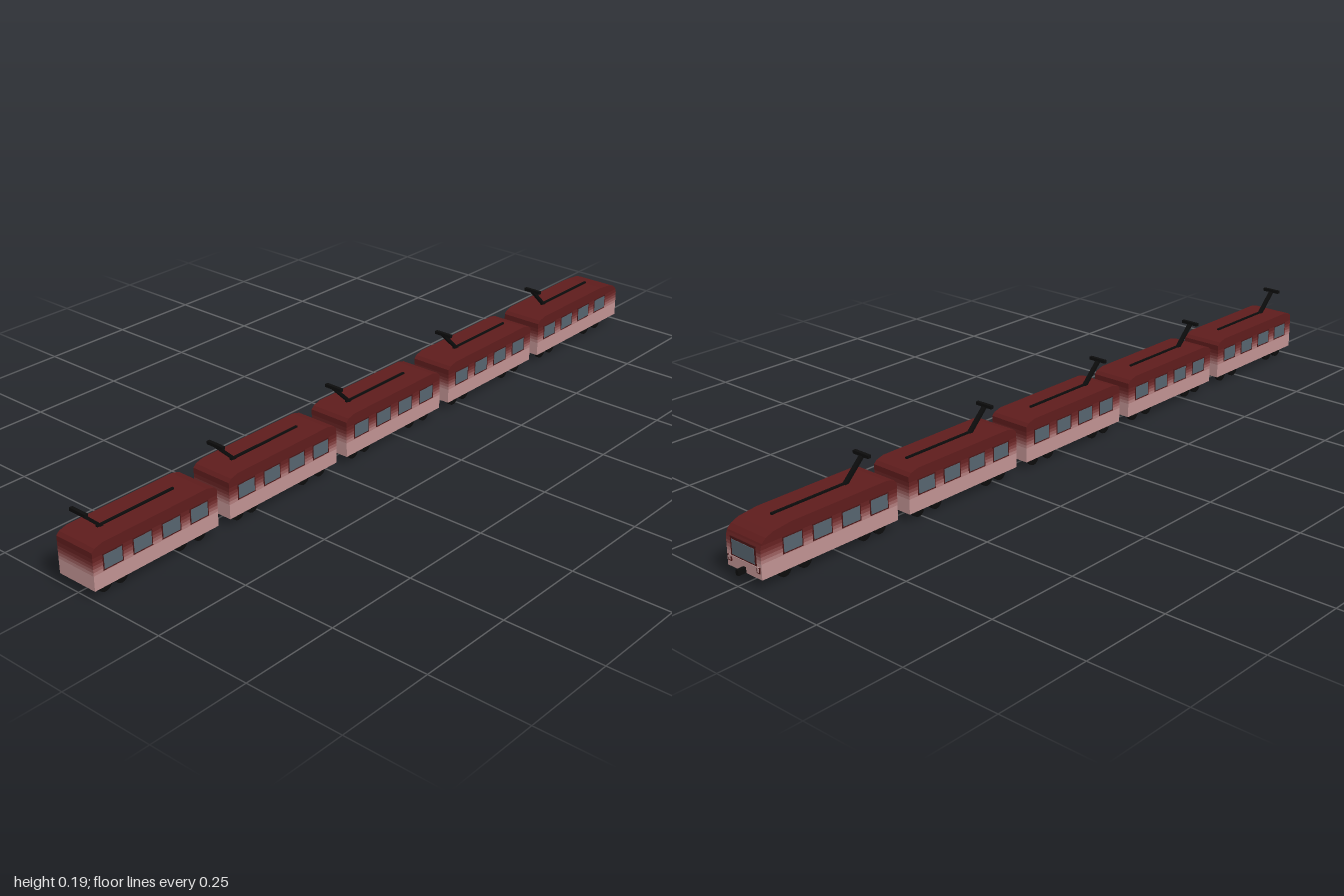
import * as THREE from 'three';

const mat = (color) => new THREE.MeshStandardMaterial({ color });
const black = mat(0x0c0c0c);
const glass = mat(0x56646e);
const frameRed = mat(0x4a1616);
const lamp = mat(0xb89090);

const HALF_WIDTH = 0.057;
const PITCH = 0.397;

// Livery bands: bottom height and colour, fading from pale pink to dark red
const BANDS = [
  [0.025, 0xc09292], [0.062, 0xb07c7c], [0.07, 0x9c6060],
  [0.078, 0x864444], [0.086, 0x742f2f], [0.094, 0x662222], [0.104, 0x5e1c1c],
];
const ROOF_Y = 0.132;

function add(parent, name, geometry, material, x = 0, y = 0, z = 0) {
  const mesh = new THREE.Mesh(geometry, material);
  mesh.name = name;
  mesh.position.set(x, y, z);
  parent.add(mesh);
  return mesh;
}
const box = (w, h, d) => new THREE.BoxGeometry(w, h, d);

// How far an end leans inwards at height y, from a short list of [y, inset] points
function inset(points, y) {
  for (let i = 1; i < points.length; i++) {
    const [y0, a] = points[i - 1], [y1, b] = points[i];
    if (y <= y1) return a + (b - a) * (y - y0) / (y1 - y0);
  }
  return points[points.length - 1][1];
}
const PLAIN_END = [[0, 0], [0.118, 0], [0.126, 0.008], [ROOF_Y, 0.03]];
const NOSE_END = [[0, 0], [0.097, 0], [0.108, 0.005], [0.118, 0.016], [0.126, 0.036], [ROOF_Y, 0.085]];

// Body shell: one extruded side profile for each livery band
function addBody(car, length, nose) {
  const body = new THREE.Group();
  body.name = 'body';
  const front = nose ? NOSE_END : PLAIN_END;
  BANDS.forEach(([y0, color], i) => {
    const y1 = i + 1 < BANDS.length ? BANDS[i + 1][0] : ROOF_Y;
    const heights = [y0, ...[0.108, 0.118, 0.126].filter((y) => y > y0 && y < y1), y1];
    const right = heights.map((y) => new THREE.Vector2(length - inset(front, y), y));
    const left = heights.map((y) => new THREE.Vector2(inset(PLAIN_END, y), y)).reverse();
    const geometry = new THREE.ExtrudeGeometry(new THREE.Shape([...right, ...left]), {
      depth: HALF_WIDTH * 2, bevelEnabled: false,
    });
    add(body, i === BANDS.length - 1 ? 'roof' : 'bodyBand', geometry, mat(color), 0, 0, -HALF_WIDTH);
  });
  car.add(body);
}

// Side windows on both sides
function addWindows(car) {
  for (const side of [-1, 1]) {
    for (let i = 0; i < 4; i++) {
      const x = 0.055 + i * 0.083;
      add(car, 'windowFrame', box(0.056, 0.04, 0.001), frameRed, x, 0.084, side * HALF_WIDTH);
      add(car, 'window', box(0.05, 0.034, 0.002), glass, x, 0.084, side * HALF_WIDTH);
    }
  }
}

// Two pairs of wheels on each side
function addWheels(car) {
  const wheel = new THREE.CylinderGeometry(0.018, 0.018, 0.009, 16).rotateX(Math.PI / 2);
  for (const x of [0.041, 0.087, 0.26, 0.317]) {
    for (const side of [-1, 1]) add(car, 'wheel', wheel, black, x, 0.018, side * 0.037);
  }
}

// Raised current collector with its base rail along the roof
function addCollector(car, x) {
  const group = new THREE.Group();
  group.name = 'currentCollector';
  group.position.x = x;
  const rise = 0.057, run = 0.058;
  const arm = add(group, 'collectorArm', box(Math.hypot(rise, run), 0.007, 0.011), black, run / 2, 0.186 - rise / 2, 0);
  arm.rotation.z = -Math.atan2(rise, run);
  add(group, 'contactBar', box(0.009, 0.008, 0.05), black, 0.002, 0.187, 0);
  add(group, 'baseRail', box(0.22, 0.006, 0.006), black, 0.155, ROOF_Y + 0.001, 0);
  car.add(group);
}

// Driver's end: windscreen, lamps, sill and coupler
function addCab(car, length) {
  add(car, 'windscreenFrame', box(0.002, 0.046, 0.084), frameRed, length, 0.076, 0);
  add(car, 'windscreen', box(0.004, 0.036, 0.074), glass, length, 0.075, 0);
  add(car, 'sill', box(0.005, 0.003, 0.1), lamp, length, 0.052, 0);
  for (const side of [-1, 1]) {
    add(car, 'headlampRim', box(0.004, 0.014, 0.012), frameRed, length, 0.046, side * 0.047);
    add(car, 'headlamp', box(0.006, 0.009, 0.007), lamp, length, 0.046, side * 0.047);
  }
  add(car, 'coupler', box(0.03, 0.013, 0.009), black, length + 0.006, 0.032, 0);
}

export function createModel() {
  const train = new THREE.Group();
  train.name = 'train';
  for (let i = 0; i < 5; i++) {
    const leading = i === 4;
    const length = leading ? 0.391 : 0.36;
    const car = new THREE.Group();
    car.name = leading ? 'leadingCar' : 'carriage';
    car.position.x = -1 + i * PITCH;
    addBody(car, length, leading);
    addWindows(car);
    addWheels(car);
    addCollector(car, i < 3 ? 0.018 : 0.047);
    if (leading) addCab(car, length);
    train.add(car);
  }
  return train;
}
